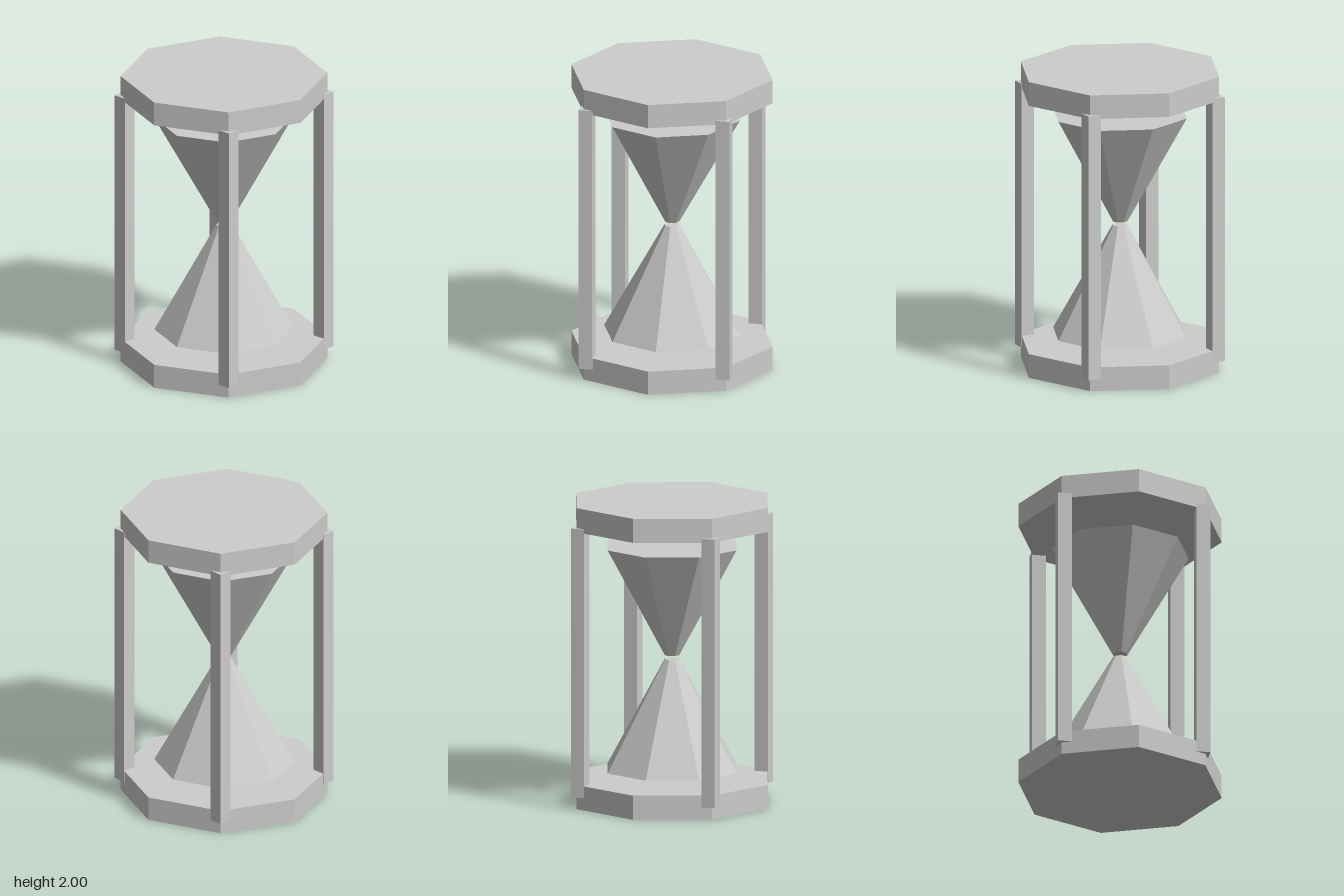
import * as THREE from 'three';

export function createModel() {
  const group = new THREE.Group();
  const grey = new THREE.MeshStandardMaterial({ color: 0xcccccc, flatShading: true });
  grey.name = 'light grey';

  const add = (name, geometry, x, y, z) => {
    const mesh = new THREE.Mesh(geometry, grey);
    mesh.name = name;
    mesh.position.set(x, y, z);
    group.add(mesh);
  };

  // Octagonal frustum spanning two heights
  const octagon = (name, topRadius, bottomRadius, y0, y1) =>
    add(name, new THREE.CylinderGeometry(topRadius, bottomRadius, y1 - y0, 8), 0, (y0 + y1) / 2, 0);

  // End plates
  octagon('basePlate', 0.675, 0.675, 0, 0.16);
  octagon('topPlate', 0.675, 0.675, 1.84, 2);

  // Two bulbs, parted by a small gap at the neck
  octagon('lowerBulb', 0.05, 0.455, 0.22, 0.948);
  octagon('upperBulb', 0.455, 0.05, 0.975, 1.702);

  // Four square posts, sunk into the plates
  for (const [side, x] of [['Left', 0.46], ['Right', -0.46]]) {
    for (const [end, z] of [['front', 0.46], ['back', -0.46]]) {
      add(`${end}${side}Post`, new THREE.BoxGeometry(0.092, 1.785, 0.092), x, 0.975, z);
    }
  }

  return group;
}
